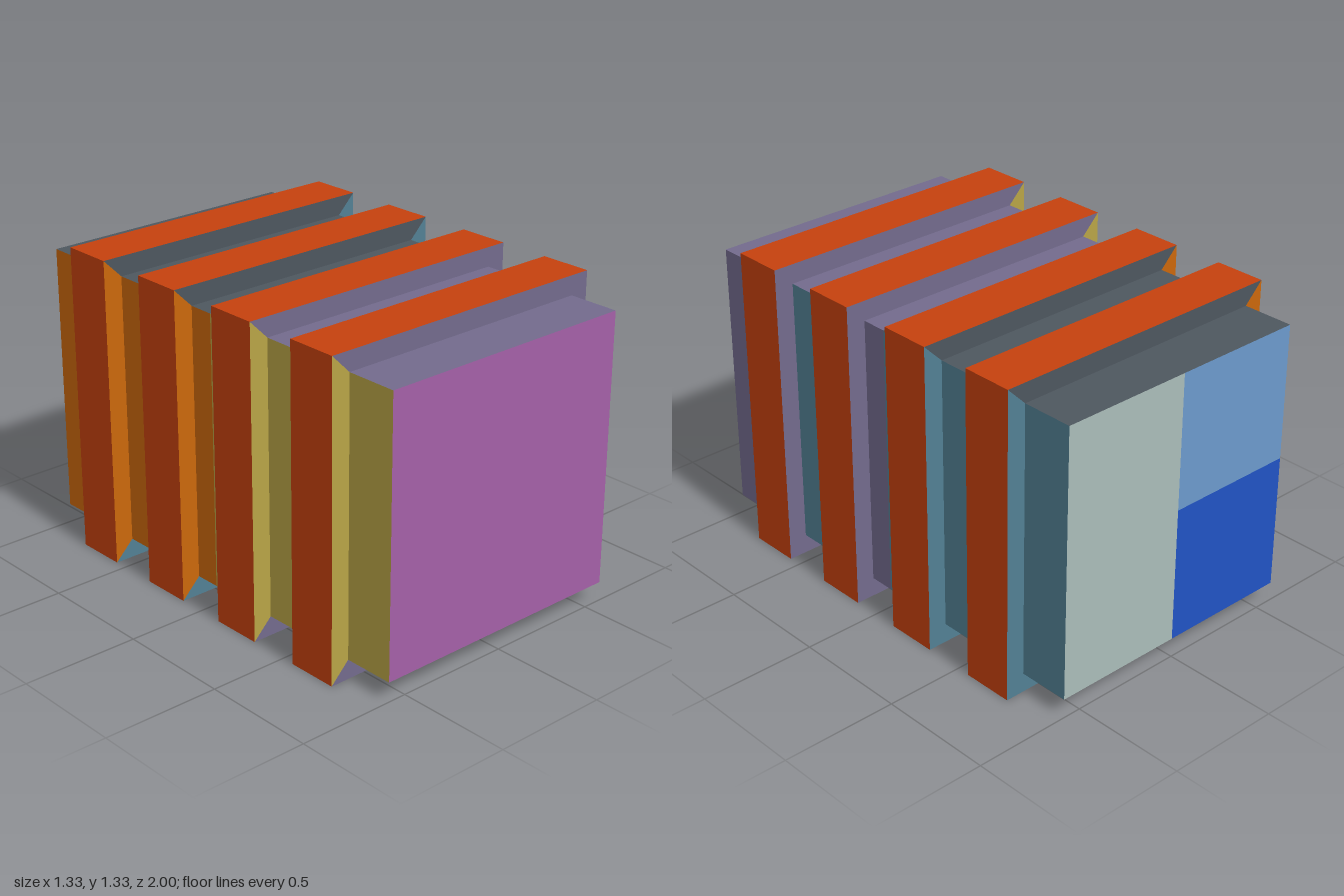
import * as THREE from 'three';

const OUTER = 0.664;   // half width of the plates
const INNER = 0.581;   // half width of the core
const THICK = 0.222;   // plate thickness

function makeMaterial(name, color) {
  const m = new THREE.MeshStandardMaterial({ color });
  m.name = name;
  return m;
}

export function createModel() {
  const model = new THREE.Group();
  model.name = 'ribbedBlock';

  const red = makeMaterial('rust red', 0xc6410e);
  const magenta = makeMaterial('magenta', 0xa560a8);
  const purple = makeMaterial('dusty purple', 0x736b8d);
  const yellow = makeMaterial('mustard yellow', 0xb8a446);
  const teal = makeMaterial('teal', 0x528094);
  const slate = makeMaterial('slate', 0x4e575f);
  const orange = makeMaterial('burnt orange', 0xcb680c);
  const grey = makeMaterial('pale grey green', 0xabbdba);
  const steel = makeMaterial('steel blue', 0x6c9acc);
  const blue = makeMaterial('strong blue', 0x2153c4);

  function addMesh(parent, name, geometry, material, z) {
    const mesh = new THREE.Mesh(geometry, material);
    mesh.name = name;
    mesh.position.z = z;
    parent.add(mesh);
    return mesh;
  }

  // Core, in lengths that meet inside the plates; faces: +x -x +y -y +z -z
  const core = new THREE.Group();
  core.name = 'core';
  core.position.y = OUTER;
  model.add(core);
  const lengths = [
    ['coreFront', 1, 0.667, [purple, yellow, purple, purple, magenta, purple]],
    ['coreFrontMiddle', 0.667, 0.222, [teal, yellow, purple, purple, purple, purple]],
    ['coreCentre', 0.222, 0, [purple, yellow, purple, purple, purple, purple]],
    ['coreBack', 0, -1, [teal, orange, slate, teal, teal, grey, steel, grey, blue]],
  ];
  for (const [name, z0, z1, materials] of lengths) {
    const isBack = materials.length > 6;
    const cuts = isBack ? 2 : 1;
    const geometry = new THREE.BoxGeometry(2 * INNER, 2 * INNER, z0 - z1, cuts, cuts, 1);
    if (isBack) {
      // Back face in quarters, each with its own colour
      const { start } = geometry.groups.pop();
      for (let i = 0; i < 4; i++) geometry.addGroup(start + i * 6, 6, 5 + i);
    }
    addMesh(core, name, geometry, materials, (z0 + z1) / 2);
  }

  // Plates: a square rim with a mitred frame on each side
  const R = OUTER * Math.SQRT2;
  const rim = new THREE.CylinderGeometry(R, R, THICK, 4, 1, true, Math.PI / 4).toNonIndexed();
  rim.rotateX(Math.PI / 2);
  rim.computeVertexNormals();
  const frame = new THREE.RingGeometry(INNER * Math.SQRT2, R, 4, 1, Math.PI / 4);
  for (let i = 0; i < 4; i++) frame.addGroup(i * 6, 6, i);

  [0.667, 0.222, -0.222, -0.667].forEach((z, i) => {
    const plate = new THREE.Group();
    plate.name = 'plate' + (i + 1);
    plate.position.set(0, OUTER, z);
    model.add(plate);
    // Frame colours: top, -x, bottom, +x
    const [top, right, bottom, left] = z > 0
      ? [purple, yellow, purple, purple]
      : [slate, orange, teal, teal];
    addMesh(plate, 'rim', rim, red, 0);
    addMesh(plate, 'frontFrame', frame, [top, right, bottom, left], THICK / 2);
    const back = addMesh(plate, 'backFrame', frame, [top, left, bottom, right], -THICK / 2);
    back.rotation.y = Math.PI;
  });

  return model;
}
